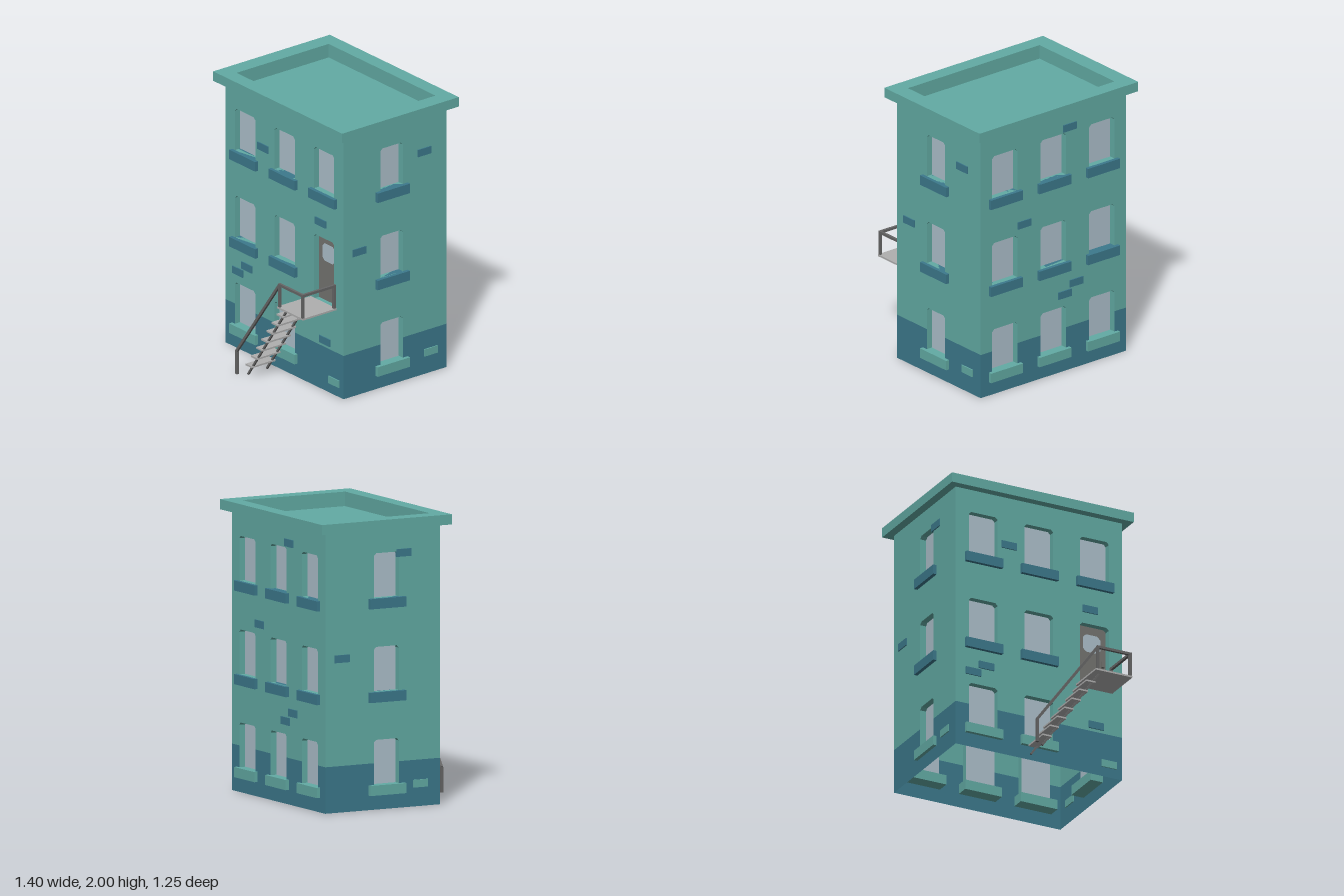
import * as THREE from 'three';

const paint = (name, color, side = THREE.FrontSide) =>
  Object.assign(new THREE.MeshStandardMaterial({ color, side }), { name });

const BAND = 0.32;      // top of the painted base
const TOP = 1.93;       // top of the walls
const RECESS = 0.045;   // depth of the window openings
const CHAMFER = 0.018;
const ROWS = [0.17, 0.81, 1.455];
const WINDOW_HEIGHT = 0.31;

export function createModel() {
  const model = new THREE.Group();
  model.name = 'apartmentBuilding';

  const green = paint('wallGreen', 0x62aba4, THREE.DoubleSide);
  const blue = paint('trimBlue', 0x3c798c, THREE.DoubleSide);
  const glass = paint('windowGlass', 0xadc0cb, THREE.DoubleSide);
  const doorGrey = paint('doorGrey', 0x747470, THREE.DoubleSide);
  const railGrey = paint('railGrey', 0x666666);
  const stepGrey = paint('stepGrey', 0xafafaf);

  const add = (parent, name, geometry, material, x = 0, y = 0, z = 0) => {
    const mesh = new THREE.Mesh(geometry, material);
    mesh.name = name;
    mesh.position.set(x, y, z);
    parent.add(mesh);
    return mesh;
  };
  const box = (parent, name, material, w, h, d, x, y, z) =>
    add(parent, name, new THREE.BoxGeometry(w, h, d), material, x, y, z);
  const toShape = (pts) => new THREE.Shape(pts.map(([x, y]) => new THREE.Vector2(x, y)));
  const flat = (pts) => new THREE.ShapeGeometry(toShape(pts));

  // Outline of an opening with clipped upper corners
  const opening = (x, y, w, h, c = CHAMFER) => [
    [x - w / 2, y], [x + w / 2, y], [x + w / 2, y + h - c], [x + w / 2 - c, y + h],
    [x - w / 2 + c, y + h], [x - w / 2, y + h - c],
  ];

  // Strip running inward around an opening
  const reveal = (pts, depth) => {
    const pos = [];
    pts.forEach(([ax, ay], i) => {
      const [bx, by] = pts[(i + 1) % pts.length];
      pos.push(ax, ay, 0, bx, by, -depth, bx, by, 0);
      pos.push(ax, ay, 0, ax, ay, -depth, bx, by, -depth);
    });
    const g = new THREE.BufferGeometry();
    g.setAttribute('position', new THREE.Float32BufferAttribute(pos, 3));
    g.computeVertexNormals();
    return g;
  };

  // One wall: local x across, y up, z outward. Columns are listed from left to right.
  function buildWall({ name, width, columns, paneWidth, bricks, x = 0, z = 0, turn = 0, door }) {
    const wall = new THREE.Group();
    wall.name = name;
    wall.position.set(x, 0, z);
    wall.rotation.y = turn;
    model.add(wall);

    const half = width / 2;
    const isDoor = (column, row) => door !== undefined && column === door && row === 1;
    const noOpening = (column, row) => door !== undefined && column === door && row === 0;
    const lower = [[-half, 0], [half, 0], [half, BAND]];
    const upper = [[half, TOP], [-half, TOP], [-half, BAND]];
    const notches = [];
    const holes = [];

    columns.forEach((cx) => ROWS.forEach((sillTop, row) => {
      if (noOpening(cx, row)) return;
      const bottom = isDoor(cx, row) ? 0.64 : sillTop;
      const pts = opening(cx, bottom, paneWidth, sillTop + WINDOW_HEIGHT - bottom);
      if (row === 0) {
        // Ground windows cut through both paint bands
        const l = cx - paneWidth / 2, r = cx + paneWidth / 2;
        notches.push([[r, BAND], [r, bottom], [l, bottom], [l, BAND]]);
        upper.push([l, BAND], pts[5], pts[4], pts[3], pts[2], [r, BAND]);
      } else holes.push(pts);

      add(wall, 'openingReveal', reveal(pts, RECESS), green);
      if (isDoor(cx, row)) {
        add(wall, 'door', flat(pts), doorGrey, 0, 0, -RECESS);
        const c = 0.025, l = cx - 0.068, r = cx + 0.068, b = 0.93, t = 1.06;
        add(wall, 'doorWindow', flat([[l + c, b], [r - c, b], [r, b + c], [r, t - c],
          [r - c, t], [l + c, t], [l, t - c], [l, b + c]]), glass, 0, 0, -RECESS + 0.004);
        box(wall, 'doorHandle', doorGrey, 0.02, 0.045, 0.02, cx + 0.083, 0.855, -RECESS + 0.01);
      } else {
        add(wall, 'windowPane', flat(pts), glass, 0, 0, -RECESS);
        box(wall, 'windowSill', row === 0 ? green : blue, 0.282, 0.07, 0.12,
          cx, sillTop - 0.035, -0.034);
      }
    }));

    notches.reverse().forEach((n) => lower.push(...n));
    lower.push([-half, BAND]);
    upper.push([half, BAND]);
    const upperShape = toShape(upper);
    holes.forEach((pts) => upperShape.holes.push(toShape(pts)));
    add(wall, 'paintedBase', flat(lower), blue);
    add(wall, 'upperWall', new THREE.ShapeGeometry(upperShape), green);

    // Loose bricks standing just proud of the wall
    bricks.forEach(([bx, by]) =>
      box(wall, 'brick', by < 0.2 ? green : blue, 0.116, 0.053, 0.016, bx, by, 0));
  }

  const columns = [-0.428, 0, 0.428];
  buildWall({
    name: 'frontWall', width: 1.28, columns, paneWidth: 0.222, z: 0.33, door: 0.428,
    bricks: [[-0.23, 1.575], [0.395, 1.228], [-0.405, 0.632], [-0.505, 0.568], [0.44, 0.367], [0.54, 0.097]],
  });
  buildWall({
    name: 'backWall', width: 1.28, columns, paneWidth: 0.222, z: -0.57, turn: Math.PI,
    bricks: [[0.143, 1.8], [-0.257, 1.19], [0.2, 0.635], [0.1, 0.57]],
  });
  buildWall({
    name: 'leftWall', width: 0.9, columns: [-0.03], paneWidth: 0.197, x: 0.64, z: -0.12, turn: Math.PI / 2,
    bricks: [[0.255, 1.647], [-0.315, 1.058], [0.31, 0.157]],
  });
  buildWall({
    name: 'rightWall', width: 0.9, columns: [0.03], paneWidth: 0.197, x: -0.64, z: -0.12, turn: -Math.PI / 2,
    bricks: [[0.165, 1.755], [-0.32, 1.058], [0.295, 0.157]],
  });

  // Roof: overhanging cornice, inner parapet and sunken deck
  const rect = (w, d) => [[-w, -d], [w, -d], [w, d], [-w, d]];
  const ring = (name, w, d, height, y) => {
    const shape = toShape(rect(w, d));
    shape.holes.push(toShape(rect(0.58, 0.403)));
    const g = new THREE.ExtrudeGeometry(shape, { depth: height, bevelEnabled: false });
    add(model, name, g.rotateX(-Math.PI / 2), green, 0, y, -0.12);
  };
  ring('cornice', 0.7, 0.51, 0.07, TOP);
  ring('parapet', 0.63, 0.44, 0.03, TOP - 0.03);
  box(model, 'roofDeck', green, 1.26, 0.01, 0.88, 0, 1.895, -0.12);

  // Entrance stairs
  const stairs = new THREE.Group();
  stairs.name = 'entranceStairs';
  model.add(stairs);
  const beam = (name, a, b, thick = 0.018) => {
    const from = new THREE.Vector3(...a), to = new THREE.Vector3(...b);
    const mesh = box(stairs, name, railGrey, thick, thick, from.distanceTo(to), 0, 0, 0);
    mesh.position.copy(from).lerp(to, 0.5);
    mesh.lookAt(to);
  };

  box(stairs, 'landing', stepGrey, 0.28, 0.013, 0.295, 0.425, 0.641, 0.4775);
  for (let i = 0; i < 7; i++) {
    box(stairs, 'step', stepGrey, 0.07, 0.012, 0.205, -0.07 + 0.056 * i, 0.08 * (i + 1), 0.483);
  }
  for (const z of [0.403, 0.567]) {
    beam('stringer', [-0.1, 0.006, z], [0.335, 0.634, z], 0.013);
  }

  // Handrail and posts
  const rz = 0.615, ry = 0.812;
  beam('bottomPost', [-0.162, 0, rz], [-0.162, 0.175, rz]);
  beam('slopedRail', [-0.162, 0.172, rz], [0.302, ry, rz]);
  beam('frontRail', [0.295, ry, rz], [0.561, ry, rz]);
  beam('sideRail', [0.552, ry, 0.624], [0.552, ry, 0.33]);
  for (const [x, z] of [[0.302, rz], [0.552, rz], [0.552, 0.342]]) {
    beam('landingPost', [x, 0.64, z], [x, ry, z]);
  }

  return model;
}
